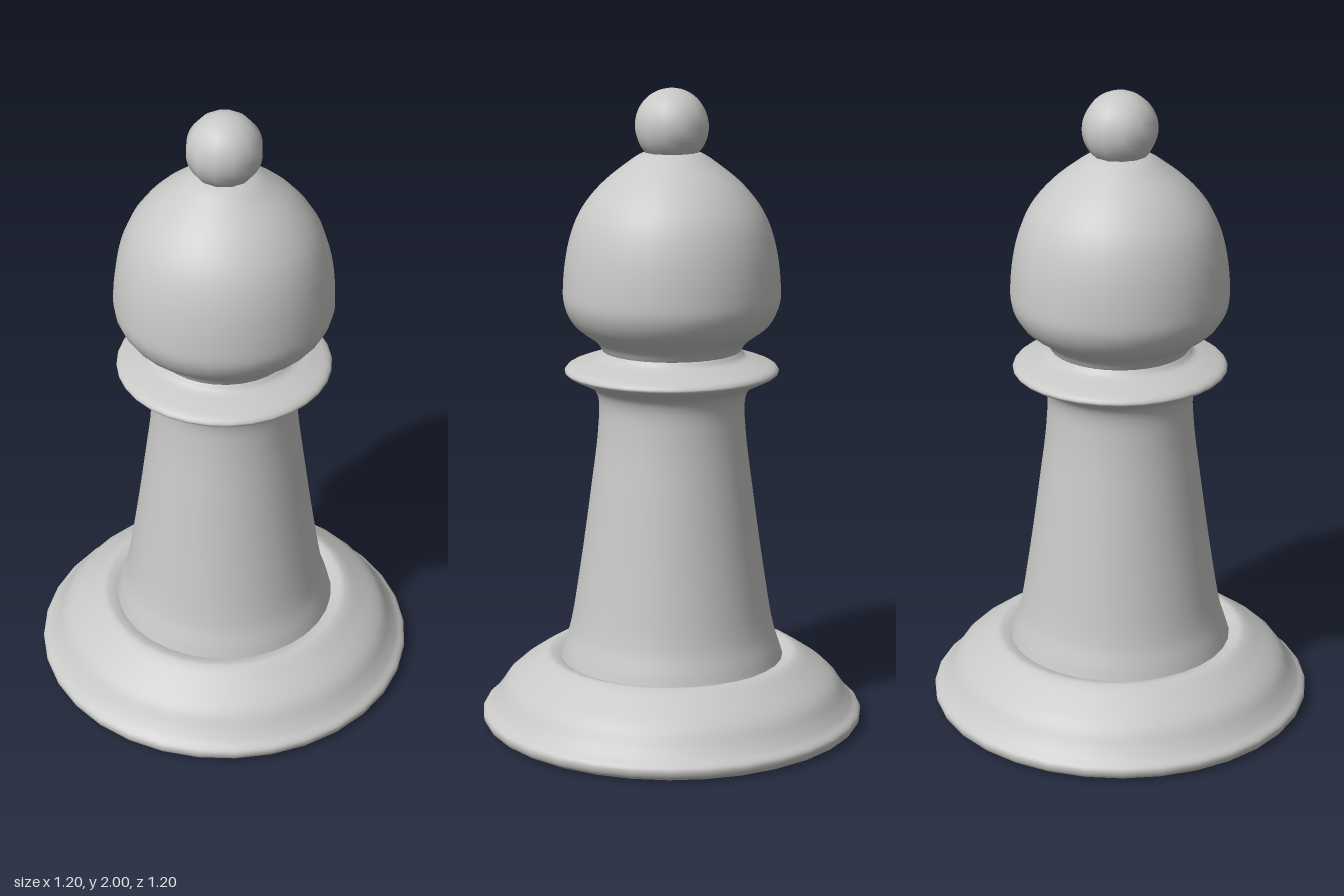
import * as THREE from 'three';

const SIDES = 32;

// Smooth surface of revolution through a few [radius, height] points
function turned(name, points, samples, material) {
  const curve = new THREE.CatmullRomCurve3(
    points.map(([r, y]) => new THREE.Vector3(r, y, 0)), false, 'centripetal');
  const profile = curve.getPoints(samples).map(p => new THREE.Vector2(Math.max(p.x, 0), p.y));
  const mesh = new THREE.Mesh(new THREE.LatheGeometry(profile, SIDES), material);
  mesh.name = name;
  return mesh;
}

export function createModel() {
  const group = new THREE.Group();
  group.name = 'chessBishop';
  const stone = new THREE.MeshStandardMaterial({ color: 0xc8c8c6 });
  stone.name = 'paleGrey';

  // Flat underside
  const underside = new THREE.Mesh(new THREE.CircleGeometry(0.57, SIDES), stone);
  underside.name = 'underside';
  underside.rotation.x = Math.PI / 2;
  group.add(underside);

  // Moulded foot, dipping in towards the stem
  group.add(turned('foot', [
    [0.57, 0], [0.595, 0.015], [0.6, 0.04], [0.575, 0.065], [0.555, 0.09],
    [0.52, 0.14], [0.455, 0.19], [0.395, 0.225], [0.37, 0.222], [0.345, 0.212],
  ], 48, stone));

  // Tapering stem with a thin flared collar
  group.add(turned('stemAndCollar', [
    [0.352, 0.21], [0.342, 0.245], [0.32, 0.315], [0.29, 0.49], [0.252, 0.76],
    [0.23, 0.94], [0.228, 1.04], [0.246, 1.08], [0.3, 1.108], [0.332, 1.128],
    [0.325, 1.142], [0.275, 1.162], [0.23, 1.178], [0.215, 1.195],
  ], 72, stone));

  // Domed head
  group.add(turned('head', [
    [0.215, 1.195], [0.232, 1.222], [0.3, 1.275], [0.332, 1.335], [0.335, 1.4],
    [0.318, 1.525], [0.284, 1.62], [0.225, 1.7], [0.148, 1.765], [0.085, 1.805],
    [0, 1.82],
  ], 60, stone));

  // Ball finial
  const ball = new THREE.Mesh(new THREE.SphereGeometry(0.115, 12, 24), stone);
  ball.name = 'finial';
  ball.position.y = 1.885;
  group.add(ball);

  return group;
}
